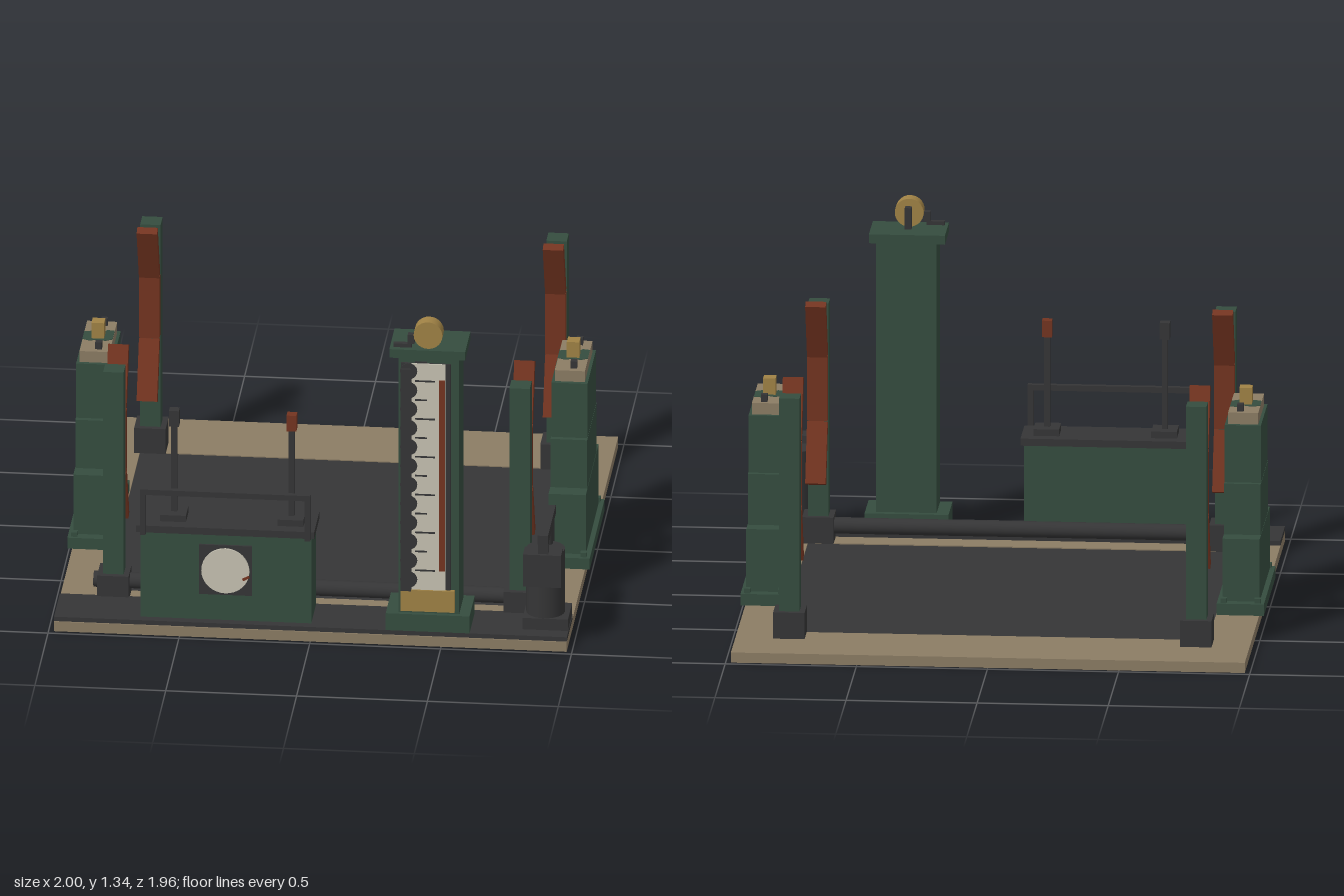
import * as THREE from 'three';

const mat = (name, color) => {
  const m = new THREE.MeshStandardMaterial({ color });
  m.name = name;
  return m;
};

export function createModel() {
  const green = mat('dark green paint', 0x354d3f);
  const stone = mat('tan concrete', 0x8b7c64);
  const dark = mat('dark iron', 0x353536);
  const rust = mat('rust red', 0x733420);
  const gold = mat('brass', 0xa08245);
  const cream = mat('cream dial', 0xc6c2b2);

  const model = new THREE.Group();
  let parent = model;
  const add = (name, geo, m, x = 0, y = 0, z = 0) => {
    const mesh = new THREE.Mesh(geo, m);
    mesh.name = name;
    mesh.position.set(x, y, z);
    parent.add(mesh);
    return mesh;
  };
  // box given by its extents along each axis
  const box = (name, m, x0, x1, y0, y1, z0, z1) =>
    add(name, new THREE.BoxGeometry(x1 - x0, y1 - y0, z1 - z0), m, (x0 + x1) / 2, (y0 + y1) / 2, (z0 + z1) / 2);
  // cylinder lying along a chosen axis
  const rod = (name, m, r, len, axis, x, y, z, sides = 20) => {
    const g = new THREE.CylinderGeometry(r, r, len, sides);
    if (axis === 'x') g.rotateZ(Math.PI / 2);
    if (axis === 'z') g.rotateX(Math.PI / 2);
    return add(name, g, m, x, y, z);
  };
  const group = (name, fn) => {
    const g = new THREE.Group();
    g.name = name;
    model.add(g);
    parent = g;
    fn();
    parent = model;
  };

  // hollow base frame around the pit floor
  group('base', () => {
    const o = 0.98, ix = 0.815, iz = 0.657, t = 0.008;
    for (const s of [-1, 1]) {
      const span = (a, b) => (s > 0 ? [a, b] : [-b, -a]);
      box('deckEnd', stone, -o, o, 0.028, 0.04, ...span(iz, o));
      box('deckSide', stone, ...span(ix, o), 0.028, 0.04, -iz, iz);
      box('skirtEnd', stone, -o, o, 0, 0.028, ...span(o - t, o));
      box('skirtSide', stone, ...span(o - t, o), 0, 0.028, -o + t, o - t);
      box('rimEnd', stone, -ix, ix, 0, 0.028, ...span(iz, iz + t));
      box('rimSide', stone, ...span(ix, ix + t), 0, 0.028, -iz, iz);
      for (const q of [-1, 1]) {
        const [a, b] = span(ix, o - t);
        box('cornerRib', stone, a, b, 0, 0.028, q * iz - t / 2, q * iz + t / 2);
        const [c, d] = span(iz + t, o - t);
        box('cornerRib', stone, q * ix - t / 2, q * ix + t / 2, 0, 0.028, c, d);
      }
    }
    box('pitFloor', dark, -ix, ix, 0.016, 0.036, -iz, iz);
    box('frontPlate', dark, -o, o, 0.04, 0.058, 0.752, 0.975);
  });

  // stepped side towers
  for (const s of [-1, 1]) group(s > 0 ? 'leftTower' : 'rightTower', () => {
    const cx = s * 0.908;
    const tier = (name, m, w, d, y0, y1) => box(name, m, cx - w / 2, cx + w / 2, y0, y1, -d / 2, d / 2);
    tier('towerFoot', green, 0.18, 0.57, 0.04, 0.085);
    tier('towerLower', green, 0.142, 0.49, 0.085, 0.33);
    tier('towerMiddle', green, 0.14, 0.362, 0.33, 0.53);
    tier('towerUpper', green, 0.138, 0.322, 0.53, 0.755);
    tier('towerCap', stone, 0.115, 0.29, 0.755, 0.8);
    // worn paint patch on the cap
    const patch = new THREE.Shape([
      [-0.057, -0.03], [-0.03, -0.042], [0, -0.032], [0.03, -0.04], [0.057, -0.025],
      [0.057, 0.055], [0.03, 0.06], [0.01, 0.035], [-0.02, 0.05], [-0.057, 0.04],
    ].map(p => new THREE.Vector2(...p)));
    const pg = new THREE.ExtrudeGeometry(patch, { depth: 0.003, bevelEnabled: false });
    pg.rotateX(-Math.PI / 2);
    add('capPatch', pg, green, cx, 0.799, 0);
    box('brassBlock', gold, cx - 0.024, cx + 0.024, 0.8, 0.866, -0.026, 0.024);
    for (const z of [-0.113, 0.109]) {
      box('capBolt', dark, cx, cx + 0.025, 0.8, 0.828, z - 0.0125, z + 0.0125);
    }
    for (const x of [-0.065, 0.065]) for (const z of [-0.262, 0.262]) {
      box('footBolt', green, cx + x - 0.012, cx + x + 0.012, 0.085, 0.103, z - 0.012, z + 0.012);
    }
  });

  // corner posts with bent fenders facing the pit
  for (const sx of [-1, 1]) for (const sz of [-1, 1]) group('cornerPost', () => {
    const x = sx * 0.776, z = sz * 0.704, h = 0.039;
    box('postFoot', dark, x - 0.06, x + 0.06, 0.04, 0.143, z - 0.06, z + 0.06);
    box('post', green, x - h, x + h, 0.143, 0.98, z - h, z + h);
    box('fenderBracket', dark, x - 0.025, x + 0.025, 0.56, 0.75, sz * 0.66 - 0.008, sz * 0.66 + 0.008);
    box('fenderMiddle', rust, x - h, x + h, 0.53, 0.78, sz * 0.636 - 0.018, sz * 0.636 + 0.018);
    for (const u of [-1, 1]) {
      const wing = add('fenderWing', new THREE.BoxGeometry(2 * h, 0.24, 0.035), rust, x, 0.655 + u * 0.243, sz * 0.587);
      wing.rotation.x = -u * sz * 0.39;
    }
  });

  // long pipe behind the front plate
  group('pipe', () => {
    rod('mainPipe', dark, 0.031, 1.75, 'x', 0.02, 0.1, 0.695);
    rod('pipeFlange', dark, 0.04, 0.03, 'x', 0.87, 0.1, 0.695);
  });

  // control console
  group('console', () => {
    box('consoleBody', green, -0.652, 0, 0.058, 0.412, 0.765, 0.94);
    box('consoleTop', dark, -0.668, 0.012, 0.412, 0.44, 0.755, 0.95);
    box('dialPlate', dark, -0.428, -0.226, 0.165, 0.37, 0.94, 0.948);
    rod('dial', cream, 0.092, 0.008, 'z', -0.327, 0.267, 0.952, 32);
    const mark = box('dialPointer', rust, -0.262, -0.234, 0.236, 0.246, 0.955, 0.959);
    mark.rotation.z = 0.5;
    box('railTop', dark, -0.652, 0, 0.578, 0.6, 0.952, 0.974);
    for (const x of [-0.641, -0.011]) box('railPost', dark, x - 0.011, x + 0.011, 0.412, 0.578, 0.952, 0.974);
    for (const [x, m] of [[-0.532, dark], [-0.083, rust]]) {
      box('leverFoot', dark, x - 0.049, x + 0.049, 0.44, 0.466, 0.8, 0.902);
      box('leverStem', dark, x - 0.011, x + 0.011, 0.466, 0.82, 0.84, 0.862);
      box('leverHandle', m, x - 0.019, x + 0.019, 0.82, 0.885, 0.832, 0.87);
    }
  });

  // tall gauge column
  group('gaugeColumn', () => {
    box('columnFoot', green, 0.288, 0.608, 0.058, 0.128, 0.775, 0.975);
    box('column', green, 0.335, 0.567, 0.128, 1.19, 0.8, 0.957);
    box('columnCap', green, 0.302, 0.592, 1.19, 1.225, 0.78, 0.977);
    box('gaugeBacking', dark, 0.345, 0.535, 0.225, 1.165, 0.957, 0.963);
    box('gaugeBoard', cream, 0.385, 0.515, 0.225, 1.165, 0.963, 0.968);
    box('gaugeRail', dark, 0.345, 0.385, 0.225, 1.145, 0.957, 0.98);
    box('levelStrip', rust, 0.492, 0.514, 0.31, 1.1, 0.968, 0.975);
    for (let i = 0; i < 12; i++) {
      const y = 0.27 + i * 0.0785;
      rod('gaugeScallop', dark, 0.033, 0.004, 'z', 0.375, y, 0.97, 16);
      box('gaugeTick', dark, 0.4, i % 2 ? 0.445 : 0.475, y + 0.036, y + 0.042, 0.968, 0.971);
    }
    box('brassBox', gold, 0.345, 0.55, 0.14, 0.228, 0.95, 0.974);
    rod('brassWheel', gold, 0.055, 0.056, 'z', 0.448, 1.28, 0.932, 28);
    box('wheelBearing', dark, 0.436, 0.462, 1.225, 1.308, 0.865, 0.895);
    box('crankBar', dark, 0.315, 0.385, 1.225, 1.24, 0.935, 0.955);
    box('crankBlock', dark, 0.37, 0.395, 1.24, 1.278, 0.93, 0.955);
  });

  // pump and its riser pipe
  group('pump', () => {
    box('pumpFoot', dark, 0.805, 0.978, 0.058, 0.105, 0.755, 0.915);
    rod('pumpBody', dark, 0.074, 0.26, 'y', 0.885, 0.235, 0.838, 24);
    box('pumpBox', dark, 0.812, 0.958, 0.262, 0.395, 0.9, 0.977);
    rod('pumpNeck', dark, 0.02, 0.1, 'y', 0.888, 0.41, 0.79, 12);
    box('outletNeck', dark, 0.868, 0.908, 0.39, 0.44, 0.93, 0.965);
    box('topPipe', dark, 0.868, 0.908, 0.438, 0.475, 0.68, 0.975);
    rod('riserPipe', dark, 0.018, 0.35, 'y', 0.888, 0.265, 0.7, 12);
  });

  return model;
}
